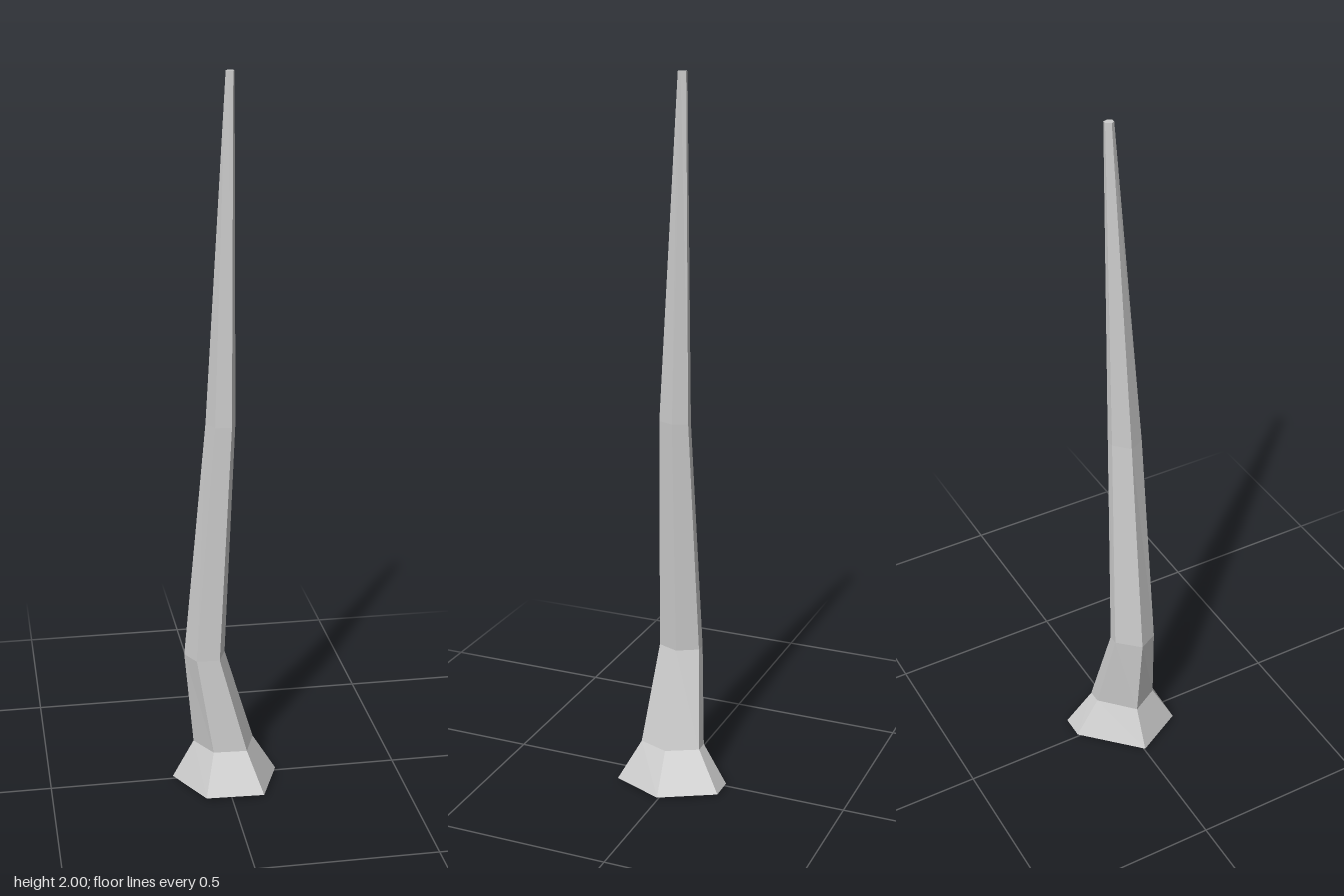
import * as THREE from 'three';

// Cross-sections from the ground up: height and six [x, z] corners,
// ordered left, front left, front right, right, back right, back left
const RINGS = [
  { y: 0.008, p: [[0.15, 0], [0.09, 0.148], [-0.073, 0.141], [-0.15, 0], [0, -0.15], [0.068, -0.15]] },
  { y: 0.12, p: [[0.082, 0.004], [0.05, 0.09], [-0.044, 0.085], [-0.09, 0.005], [0, -0.081], [0.037, -0.082]] },
  { y: 0.395, p: [[0, 0.005], [-0.023, 0.064], [-0.087, 0.061], [-0.115, 0.007], [-0.06, -0.052], [-0.032, -0.052]] },
  { y: 1.07, p: [[0.03, 0.004], [0.013, 0.048], [-0.032, 0.046], [-0.052, 0.004], [-0.012, -0.034], [0.01, -0.035]] },
  { y: 2, p: [[0.03, -0.021], [0.025, -0.011], [0.013, -0.011], [0.007, -0.021], [0.016, -0.034], [0.025, -0.034]] },
];

// Joins the rings with quads and closes both ends with a fan
function loft(rings, bottom, top) {
  const n = rings[0].p.length;
  const positions = [];
  const corner = (r, i) => [rings[r].p[i % n][0], rings[r].y, rings[r].p[i % n][1]];
  const tri = (a, b, c) => positions.push(...a, ...b, ...c);
  const last = rings.length - 1;
  for (let i = 0; i < n; i++) {
    for (let r = 0; r < last; r++) {
      const a = corner(r, i), b = corner(r, i + 1);
      const c = corner(r + 1, i + 1), d = corner(r + 1, i);
      tri(a, c, b);
      tri(a, d, c);
    }
    tri(bottom, corner(0, i), corner(0, i + 1));
    tri(top, corner(last, i + 1), corner(last, i));
  }
  const geometry = new THREE.BufferGeometry();
  geometry.setAttribute('position', new THREE.Float32BufferAttribute(positions, 3));
  geometry.computeVertexNormals();
  return geometry;
}

export function createModel() {
  const group = new THREE.Group();
  group.name = 'bareTrunk';
  const material = new THREE.MeshStandardMaterial({ color: 0xcccccc, flatShading: true });

  // Bent, tapering trunk with a flared foot
  const trunk = new THREE.Mesh(loft(RINGS, [0, 0, 0], [0.019, 2, -0.022]), material);
  trunk.name = 'trunk';
  group.add(trunk);
  return group;
}
